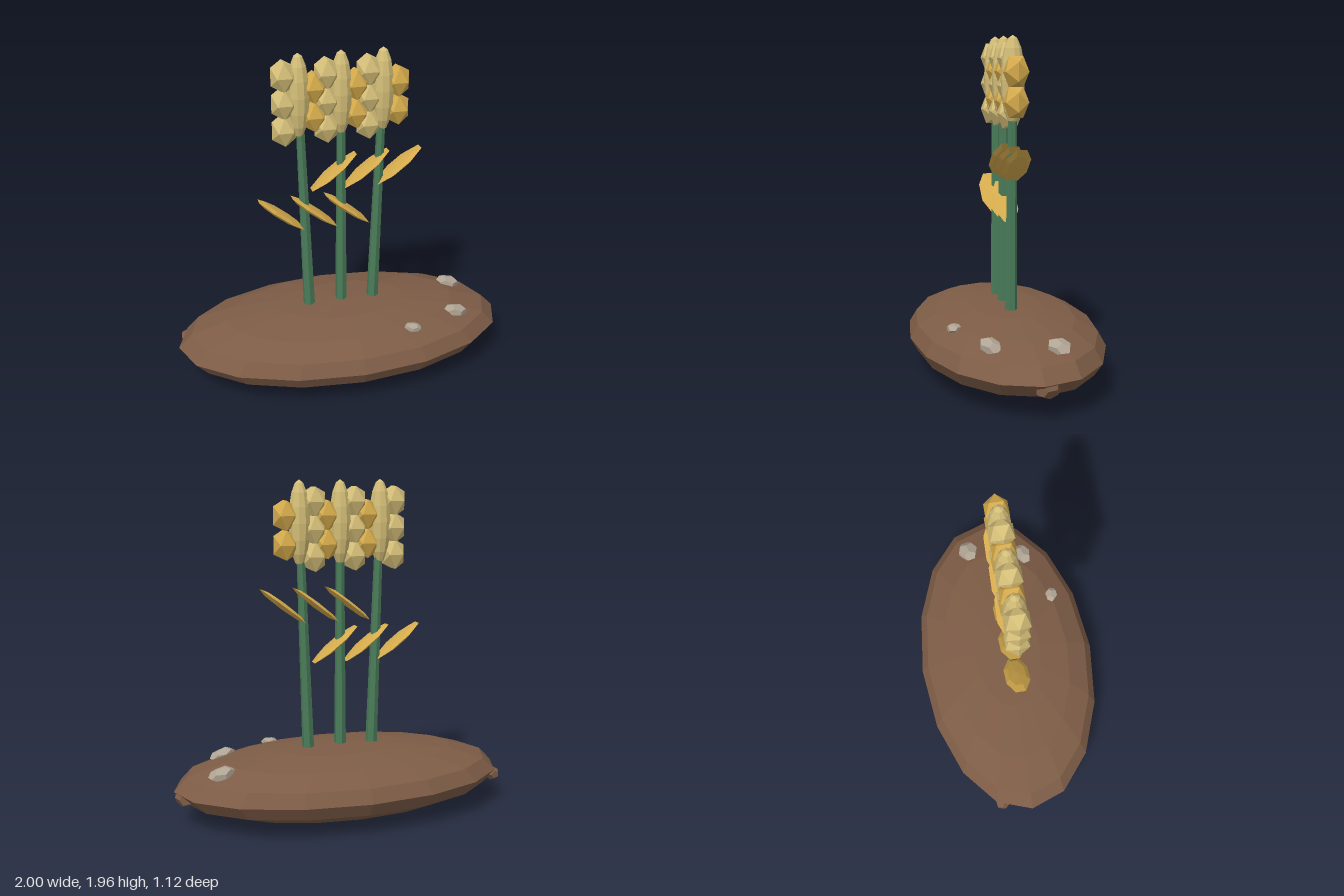
import * as THREE from 'three';

const mat = (name, color) => {
  const m = new THREE.MeshStandardMaterial({ color, flatShading: true });
  m.name = name;
  return m;
};

export function createModel() {
  const soil = mat('soil brown', 0x7d5c46);
  const green = mat('stem green', 0x4a7c59);
  const straw = mat('pale straw', 0xd4be78);
  const gold = mat('grain gold', 0xd4aa4c);
  const stone = mat('stone grey', 0xb0a494);

  const model = new THREE.Group();
  model.name = 'grainPlants';

  const add = (parent, name, geometry, material, pos, scale = [1, 1, 1]) => {
    const mesh = new THREE.Mesh(geometry, material);
    mesh.name = name;
    mesh.position.set(...pos);
    mesh.scale.set(...scale);
    parent.add(mesh);
    return mesh;
  };

  // Flattened mound of earth
  add(model, 'mound', new THREE.SphereGeometry(1, 16, 8), soil, [0, 0.208, 0], [1, 0.203, 0.56]);

  // Half-buried clods at the ends of the mound and pebbles on top
  const rock = new THREE.DodecahedronGeometry(1, 0);
  add(model, 'clod', rock, soil, [0.945, 0.18, -0.03], [0.05, 0.055, 0.075]).rotation.y = 0.3;
  add(model, 'clod', rock, soil, [-0.925, 0.175, -0.18], [0.045, 0.04, 0.045]).rotation.y = 0.7;
  const pebbles = [
    [0.75, 0.335, -0.14, 0.08, 0.035, 0.068, 0.2],
    [0.67, 0.338, 0.215, 0.082, 0.035, 0.058, 0.3],
    [0.345, 0.35, 0.355, 0.052, 0.025, 0.042, -0.3],
  ];
  for (const [x, y, z, sx, sy, sz, turn] of pebbles) {
    add(model, 'pebble', rock, stone, [x, y, z], [sx, sy, sz]).rotation.set(0, turn, x > 0.5 ? -0.25 : -0.05);
  }

  // Shared plant geometries
  const stemGeo = new THREE.CylinderGeometry(0.025, 0.036, 1.16, 6);
  const coreGeo = new THREE.SphereGeometry(1, 10, 8);
  const kernelGeo = new THREE.IcosahedronGeometry(1, 0).rotateY(Math.PI / 2);
  const leafGeo = new THREE.SphereGeometry(1, 8, 4).rotateY(Math.PI / 8);

  for (const i of [-1, 0, 1]) {
    const plant = new THREE.Group();
    plant.name = 'plant';
    model.add(plant);

    // Stem leaning slightly outwards
    add(plant, 'stem', stemGeo, green, [i * 0.217, 0.95, 0]).rotation.z = -i * 0.033;

    // Seed head: tall core with three pale kernels on one side, two golden on the other
    const hx = i * 0.243;
    add(plant, 'headCore', coreGeo, straw, [hx, 1.715, 0], [0.064, 0.245, 0.068]);
    for (const y of [1.835, 1.68, 1.525]) {
      add(plant, 'paleKernel', kernelGeo, straw, [hx - 0.085, y, 0], [0.08, 0.1, 0.076]);
    }
    for (const y of [1.76, 1.595]) {
      add(plant, 'goldenKernel', kernelGeo, gold, [hx + 0.085, y, 0], [0.08, 0.1, 0.076]);
    }

    // Low leaf to one side, high leaf to the other, both rising outwards
    const leafSize = [0.18, 0.02, 0.075];
    add(plant, 'lowLeaf', leafGeo, gold, [i * 0.195 - 0.162, 1.008, 0], leafSize).rotation.z = -0.66;
    add(plant, 'highLeaf', leafGeo, gold, [i * 0.195 + 0.15, 1.247, 0], leafSize).rotation.z = 0.66;
  }

  return model;
}
